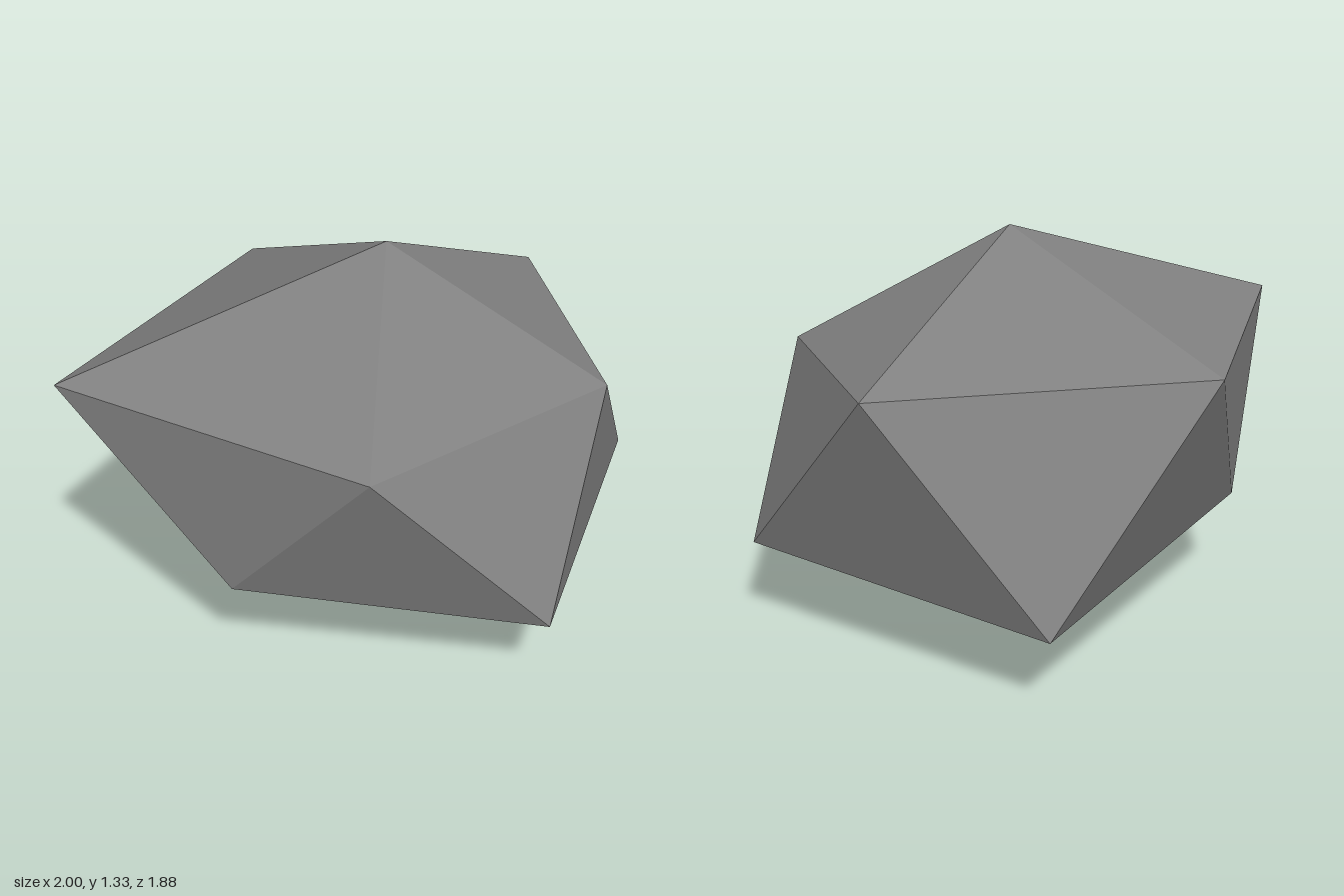
import * as THREE from 'three';

export function createModel() {
  const stone = new THREE.MeshStandardMaterial({ color: 0x808080, flatShading: true });
  stone.name = 'stone grey';

  // Irregular icosahedron: two poles and two staggered rings of five corners
  const top = [0, 1.33, 0];
  const bottom = [0, 0, 0];
  const upper = [[1, 0.92, 0], [0.27, 0.885, 0.765], [-0.75, 0.89, 0.49], [-1, 0.985, -0.65], [0.33, 0.95, -0.94]];
  const lower = [[0.85, 0.3, 0.56], [-0.345, 0.29, 0.935], [-0.885, 0.355, 0], [-0.28, 0.34, -0.79], [0.975, 0.25, -0.645]];

  // Cap, staggered band and base, one wedge at a time
  const points = [];
  for (let i = 0; i < 5; i++) {
    const n = (i + 1) % 5;
    points.push(
      top, upper[n], upper[i],
      upper[i], upper[n], lower[i],
      upper[n], lower[n], lower[i],
      bottom, lower[i], lower[n],
    );
  }
  const geometry = new THREE.BufferGeometry();
  geometry.setAttribute('position', new THREE.Float32BufferAttribute(points.flat(), 3));
  geometry.computeVertexNormals();

  const rock = new THREE.Mesh(geometry, stone);
  rock.name = 'rock';
  const group = new THREE.Group();
  group.name = 'boulder';
  group.add(rock);
  return group;
}
